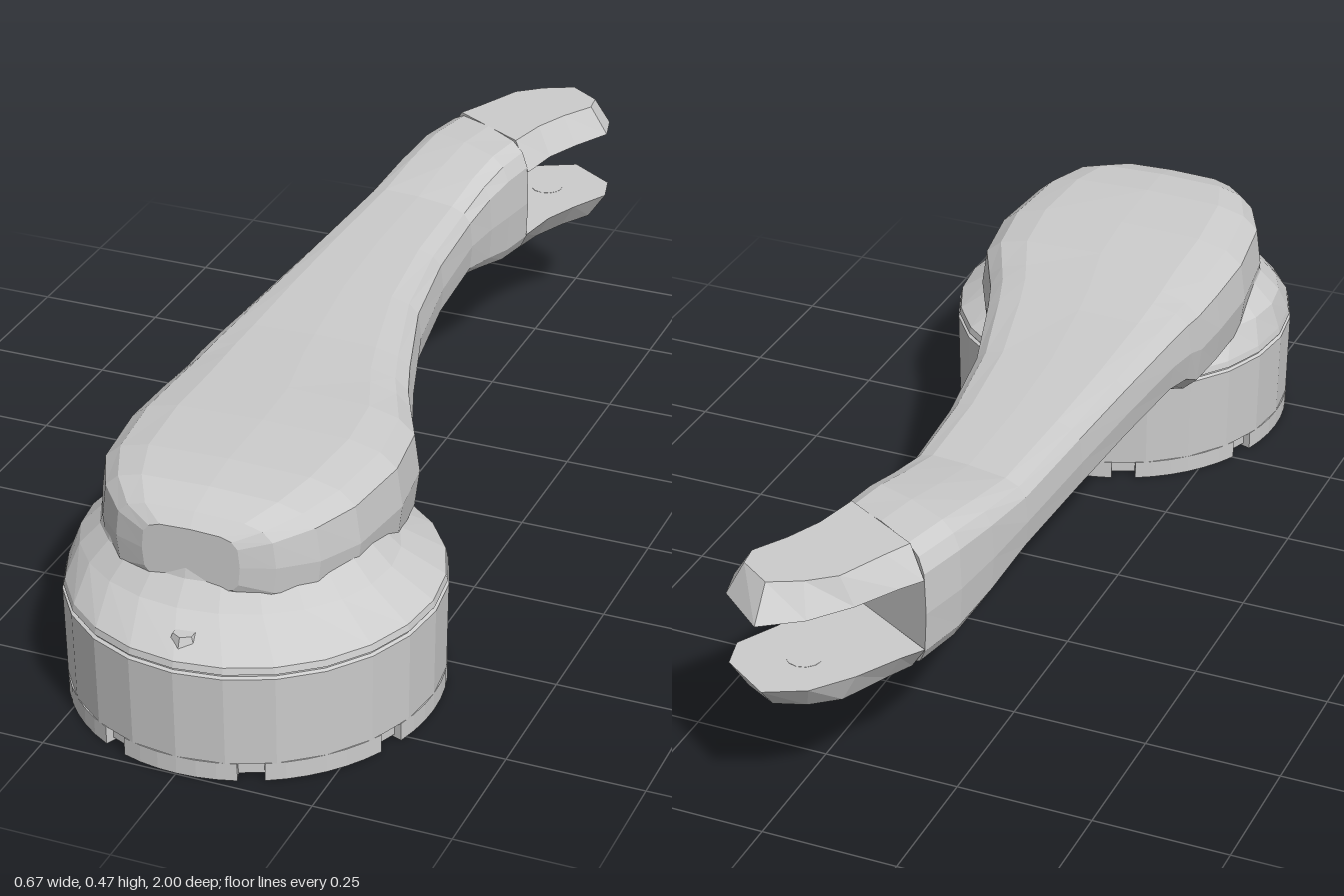
import * as THREE from 'three';

const grey = new THREE.MeshStandardMaterial({ color: 0xcccccc, flatShading: true });
grey.name = 'light grey';

function part(name, geometry) {
  const mesh = new THREE.Mesh(geometry, grey);
  mesh.name = name;
  return mesh;
}

// Closed skin through rounded-box sections: [z, left x, right x, bottom, top, shear]
function loft(sections, sides = 16) {
  const pos = [], idx = [];
  const soft = (v) => Math.sign(v) * Math.sqrt(Math.abs(v));
  for (const [z, l, r, b, t, shear = 0] of sections) {
    const w = (r - l) / 2, h = (t - b) / 2;
    for (let j = 0; j < sides; j++) {
      const a = (j / sides) * Math.PI * 2;
      const dx = w * soft(Math.cos(a));
      pos.push((l + r) / 2 + dx, (b + t) / 2 + h * soft(Math.sin(a)), z + shear * dx);
    }
  }
  const rows = sections.length;
  for (let i = 0; i < rows - 1; i++) {
    for (let j = 0; j < sides; j++) {
      const a = i * sides + j, b = i * sides + ((j + 1) % sides);
      idx.push(a, a + sides, b, b, a + sides, b + sides);
    }
  }
  // End caps
  const last = (rows - 1) * sides;
  for (let j = 1; j < sides - 1; j++) {
    idx.push(0, j, j + 1, last, last + j + 1, last + j);
  }
  const g = new THREE.BufferGeometry();
  g.setAttribute('position', new THREE.Float32BufferAttribute(pos, 3));
  g.setIndex(idx);
  g.computeVertexNormals();
  return g;
}

const PIN = { x: -0.02, z: -0.86, r: 0.03 };

// One fork prong, its outer face drawn in towards the middle and the tip
function prong(bottom, top, outerIsTop, tipZ, hole) {
  const pts = [[0.02, -0.635], [0.035, -0.72], [0.065, -0.79], [0.105, -0.865], [0.09, -0.925],
    [0, tipZ], [-0.07, -0.95], [-0.125, -0.88], [-0.17, -0.8], [-0.197, -0.76]];
  const shape = new THREE.Shape(pts.map(([x, z]) => new THREE.Vector2(x, -z)));
  if (hole) shape.holes.push(new THREE.Path().absarc(PIN.x, -PIN.z, PIN.r, 0, Math.PI * 2, true));
  const g = new THREE.ExtrudeGeometry(shape, { depth: top - bottom, bevelEnabled: false, curveSegments: 6 });
  g.rotateX(-Math.PI / 2).translate(0, bottom, 0);
  const p = g.attributes.position;
  const mid = (bottom + top) / 2;
  for (let i = 0; i < p.count; i++) {
    const x = p.getX(i), z = p.getZ(i);
    const inHole = Math.hypot(x - PIN.x, z - PIN.z) < PIN.r + 0.005;
    if ((p.getY(i) > mid) !== outerIsTop || inHole) continue;
    const cx = -0.09 + (-0.7 - z) * 0.36;
    const dx = (cx - x) * 0.26;
    // Root corners slide along the slanted joint with the arm
    const root = THREE.MathUtils.clamp((z + 0.85) / 0.08, 0, 1);
    const pull = z < -0.88 ? (-0.88 - z) * 0.45 : 0;
    p.setX(i, x + dx);
    p.setZ(i, z + 0.56 * dx * root + pull);
  }
  g.computeVertexNormals();
  return g;
}

export function createModel() {
  const model = new THREE.Group();
  model.name = 'handle';

  // Hollow round cap with a seam and a sloping shoulder
  const cap = new THREE.Group();
  cap.name = 'cap';
  cap.position.z = 0.655;
  cap.scale.z = 1.035;
  const profile = [[0, 0.1], [0.3, 0.1], [0.3, 0.006], [0.318, 0.006], [0.318, 0.033], [0.331, 0.033],
    [0.334, 0.202], [0.328, 0.205], [0.328, 0.208], [0.332, 0.21], [0.329, 0.222],
    [0.25, 0.272], [0.217, 0.31], [0.2, 0.38], [0, 0.38]]
    .map(([x, y]) => new THREE.Vector2(x, y));
  const body = new THREE.LatheGeometry(profile, 24);
  // Upper shoulder is wider and shifted to meet the arm
  const p = body.attributes.position;
  for (let i = 0; i < p.count; i++) {
    if (p.getY(i) > 0.25) p.setX(i, p.getX(i) * 1.13 - 0.03);
  }
  body.computeVertexNormals();
  cap.add(part('capBody', body));

  // Rim teeth, separated by eight shallow notches
  for (let k = 0; k < 8; k++) {
    const a = (k * Math.PI) / 4, half = Math.PI / 8 - 0.07;
    const arc = new THREE.Shape();
    arc.absarc(0, 0, 0.331, a - half, a + half, false);
    arc.absarc(0, 0, 0.31, a + half, a - half, true);
    const g = new THREE.ExtrudeGeometry(arc, { depth: 0.034, bevelEnabled: false, curveSegments: 3 });
    g.rotateX(-Math.PI / 2);
    cap.add(part('rimTooth', g));
  }
  model.add(cap);

  // Small raised pointer on the front of the shoulder
  const pointer = part('pointer', new THREE.CylinderGeometry(0.02, 0.034, 0.036, 6));
  pointer.position.set(0, 0.234, 0.948);
  model.add(pointer);

  // Curved lever arm, from the rounded head to the slanted root of the fork
  model.add(part('arm', loft([
    [0.875, -0.11, 0.07, 0.295, 0.405],
    [0.85, -0.17, 0.125, 0.27, 0.425],
    [0.79, -0.225, 0.18, 0.24, 0.442],
    [0.7, -0.27, 0.215, 0.22, 0.447],
    [0.55, -0.292, 0.23, 0.212, 0.445],
    [0.42, -0.29, 0.21, 0.212, 0.44],
    [0.33, -0.285, 0.165, 0.215, 0.436],
    [0.28, -0.282, 0.14, 0.248, 0.434],
    [0.2, -0.277, 0.11, 0.27, 0.431],
    [0, -0.265, 0.045, 0.276, 0.43],
    [-0.2, -0.255, 0.01, 0.276, 0.43],
    [-0.41, -0.245, -0.005, 0.274, 0.43, 0.15],
    [-0.52, -0.235, 0, 0.245, 0.45, 0.3],
    [-0.61, -0.222, 0.01, 0.224, 0.465, 0.45],
    [-0.697, -0.199, 0.021, 0.22, 0.466, 0.56],
  ])));

  // Fork prongs, the lower one with a blind pin hole underneath
  model.add(part('upperProng', prong(0.41, 0.465, true, -1, false)));
  model.add(part('lowerProng', prong(0.221, 0.273, false, -0.985, true)));
  const plug = part('pinHoleEnd', new THREE.CylinderGeometry(PIN.r + 0.002, PIN.r + 0.002, 0.025, 12));
  plug.position.set(PIN.x, 0.261, PIN.z);
  model.add(plug);
  return model;
}
